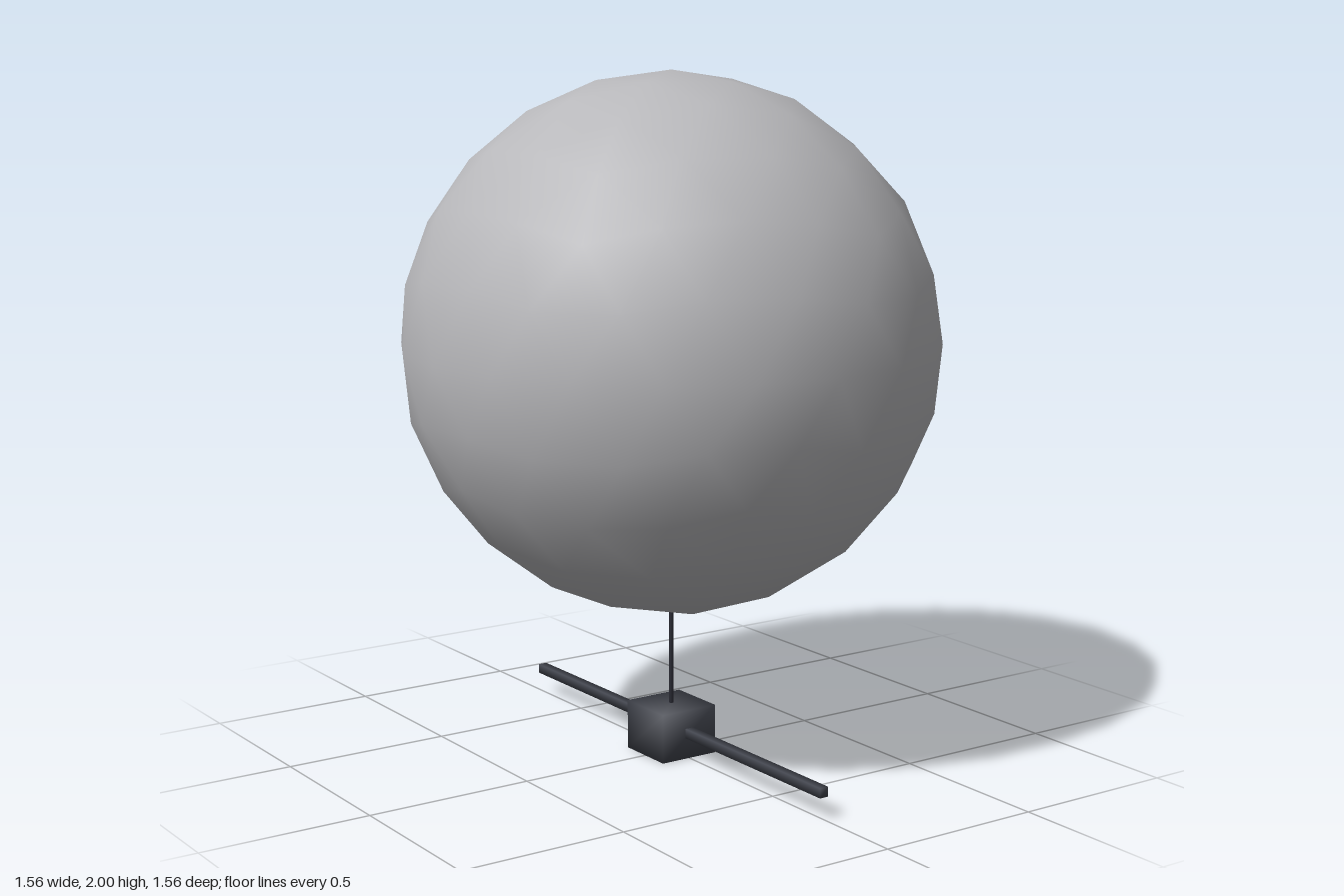
import * as THREE from 'three';
import { mergeVertices } from 'three/addons/utils/BufferGeometryUtils.js';

// Share corner vertices so the shading runs smoothly over the edges
function smooth(geometry) {
  geometry.deleteAttribute('normal');
  geometry.deleteAttribute('uv');
  const merged = mergeVertices(geometry, 1e-4);
  merged.computeVertexNormals();
  return merged;
}

// Icosphere with a vertex at each pole, split evenly at edge midpoints
function icosphere(radius, splits) {
  const ring = (lat, start) => Array.from({ length: 5 }, (_, i) => {
    const a = start + (i * Math.PI * 2) / 5;
    return new THREE.Vector3(Math.cos(lat) * Math.cos(a), Math.sin(lat), -Math.cos(lat) * Math.sin(a));
  });
  const lat = Math.atan(0.5);
  const top = new THREE.Vector3(0, 1, 0);
  const bottom = new THREE.Vector3(0, -1, 0);
  const upper = ring(lat, 0);
  const lower = ring(-lat, Math.PI / 5);
  let faces = [];
  for (let i = 0; i < 5; i++) {
    const j = (i + 1) % 5;
    faces.push(
      [top, upper[i], upper[j]],
      [upper[i], lower[i], upper[j]],
      [lower[i], lower[j], upper[j]],
      [bottom, lower[j], lower[i]],
    );
  }
  const mid = (a, b) => a.clone().add(b).normalize();
  for (let s = 0; s < splits; s++) {
    faces = faces.flatMap(([a, b, c]) => {
      const ab = mid(a, b), bc = mid(b, c), ca = mid(c, a);
      return [[a, ab, ca], [ab, b, bc], [ca, bc, c], [ab, bc, ca]];
    });
  }
  const geometry = new THREE.BufferGeometry().setFromPoints(faces.flat());
  const merged = mergeVertices(geometry, 1e-4);
  merged.setAttribute('normal', merged.attributes.position.clone());
  return merged.scale(radius, radius, radius);
}

export function createModel() {
  const model = new THREE.Group();
  const paleGrey = new THREE.MeshStandardMaterial({ color: 0xb8b8bb });
  const darkGrey = new THREE.MeshStandardMaterial({ color: 0x41444d });
  const cordGrey = new THREE.MeshStandardMaterial({ color: 0x2b2c35 });

  const add = (name, geometry, material, y) => {
    const mesh = new THREE.Mesh(geometry, material);
    mesh.name = name;
    mesh.position.y = y;
    model.add(mesh);
  };

  // Balloon
  add('balloon', icosphere(0.78, 2), paleGrey, 1.22);
  // Cord between balloon and hanging block
  add('cord', smooth(new THREE.BoxGeometry(0.01, 0.34, 0.01)), cordGrey, 0.3);
  // Hanging block and the long rod through it
  add('block', smooth(new THREE.BoxGeometry(0.186, 0.146, 0.186)), darkGrey, 0.073);
  add('rod', smooth(new THREE.BoxGeometry(0.028, 0.028, 1.46)), darkGrey, 0.077);

  return model;
}
